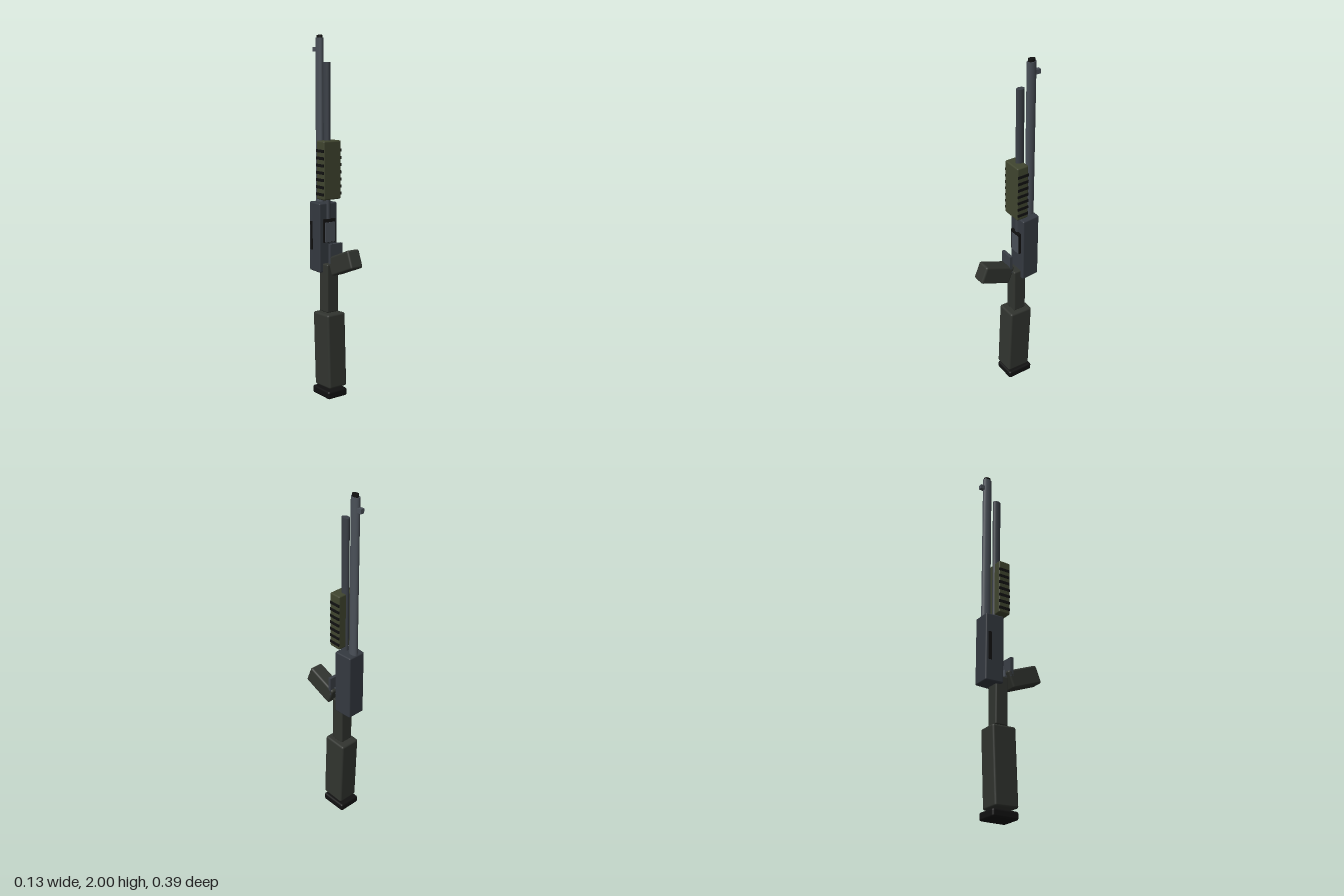
import * as THREE from 'three';
import { RoundedBoxGeometry } from 'three/addons/geometries/RoundedBoxGeometry.js';

const mat = (color) => new THREE.MeshStandardMaterial({ color });
const steel = mat(0x4a5058);
const darkSteel = mat(0x3a3f46);
const receiverGrey = mat(0x343940);
const olive = mat(0x40452f);
const polymer = mat(0x31342f);
const black = mat(0x111111);

export function createModel() {
  const model = new THREE.Group();

  const add = (name, geometry, material, x, y, z) => {
    const mesh = new THREE.Mesh(geometry, material);
    mesh.name = name;
    mesh.position.set(x, y, z);
    model.add(mesh);
    return mesh;
  };
  // Softened box given by its size and centre
  const box = (name, material, [w, h, d], [x, y, z], r = 0.008) =>
    add(name, new RoundedBoxGeometry(w, h, d, 3, r), material, x, y, z);
  const plainBox = (name, material, [w, h, d], [x, y, z]) =>
    add(name, new THREE.BoxGeometry(w, h, d), material, x, y, z);
  // Upright oval rod between two heights
  const rod = (name, material, rx, rz, y0, y1, z) => {
    const g = new THREE.CylinderGeometry(1, 1, y1 - y0, 32);
    return add(name, g.scale(rx, 1, rz), material, 0, (y0 + y1) / 2, z);
  };

  // Barrel, bore and front sight
  rod('barrel', steel, 0.018, 0.027, 1.05, 1.985, -0.146);
  rod('muzzle', black, 0.0135, 0.02, 1.95, 2.0, -0.146);
  plainBox('frontSight', steel, [0.022, 0.025, 0.03], [0, 1.924, -0.18]);

  // Tube under the barrel
  rod('magazineTube', darkSteel, 0.0165, 0.0235, 0.95, 1.857, -0.08);

  // Sliding fore grip with ribs along both sides
  box('foreGrip', olive, [0.116, 0.32, 0.07], [0, 1.28, -0.062]);
  for (const side of [-1, 1]) {
    for (let i = 0; i < 7; i++) {
      plainBox('foreGripRib', black, [0.006, 0.016, 0.066],
        [side * 0.058, 1.15 + i * 0.0393, -0.063]);
    }
  }

  // Receiver: slightly narrower toward the back
  const receiver = box('receiver', receiverGrey, [0.12, 0.388, 0.108], [0, 0.904, -0.121]);
  const p = receiver.geometry.attributes.position;
  for (let i = 0; i < p.count; i++) {
    p.setX(i, p.getX(i) * (0.925 + p.getZ(i) * 1.2));
  }
  receiver.geometry.computeBoundingSphere();

  // Side and front openings
  plainBox('ejectionPort', black, [0.012, 0.16, 0.02], [-0.0505, 0.91, -0.15]);
  plainBox('loadingPort', black, [0.076, 0.13, 0.02], [0, 0.945, -0.064]);
  plainBox('loadingGate', steel, [0.064, 0.11, 0.01], [0, 0.937, -0.056]);

  // Trigger area and angled hand grip
  plainBox('triggerGuard', darkSteel, [0.08, 0.11, 0.018], [0, 0.827, -0.002]);
  plainBox('trigger', steel, [0.022, 0.04, 0.046], [0, 0.795, -0.004]);
  const grip = box('handGrip', polymer, [0.08, 0.104, 0.196], [0, 0.79, 0.084], 0.012);
  grip.rotation.x = -0.38;

  // Stock neck, stock and butt pad
  box('stockNeck', polymer, [0.077, 0.275, 0.077], [0, 0.624, -0.063]);
  const stock = box('stock', polymer, [0.12, 0.424, 0.142], [0, 0.27, -0.053], 0.012);
  stock.rotation.x = -0.04;
  box('buttPad', black, [0.13, 0.045, 0.156], [0, 0.0225, -0.055], 0.012);

  return model;
}
